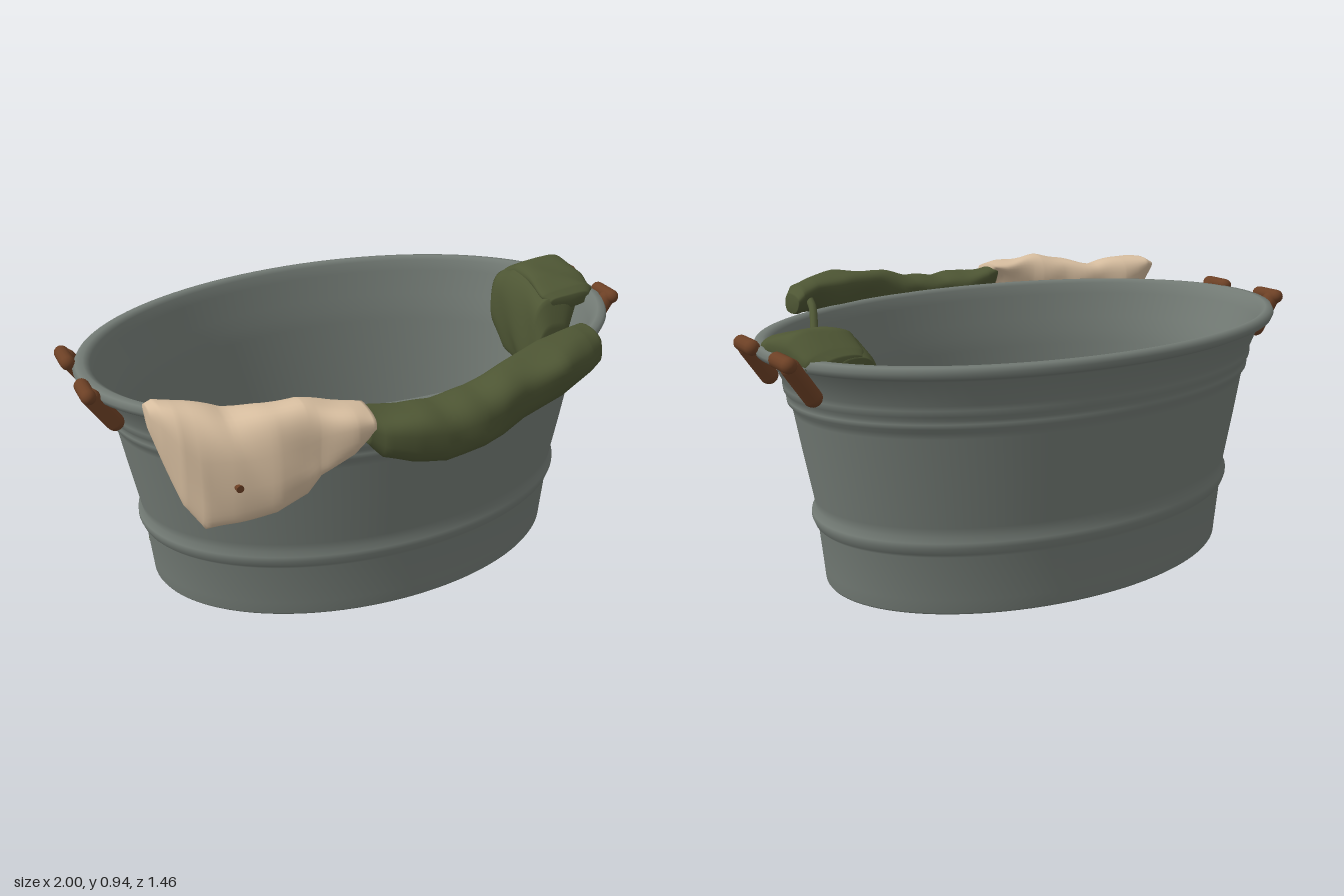
import * as THREE from 'three';

const mat = (name, color, side = THREE.FrontSide) => {
  const m = new THREE.MeshStandardMaterial({ color, side });
  m.name = name;
  return m;
};

// Uneven wrinkle pattern for cloth
const wrinkle = (x, y, z) => {
  const a = x + 0.12 * Math.sin(7 * z + 3 * y), b = z + 0.1 * Math.sin(9 * x - 4 * y);
  return Math.sin(13 * a + 9 * y + 5 * b) * Math.sin(10 * b - 11 * y + 4 * a) + 0.4 * Math.sin(31 * a - 14 * b + 15 * y);
};

const lerp = THREE.MathUtils.lerp;

function gridGeometry(pos, index) {
  const g = new THREE.BufferGeometry();
  g.setAttribute('position', new THREE.Float32BufferAttribute(pos, 3));
  g.setIndex(index);
  g.computeVertexNormals();
  return g;
}

// Closed cloth roll. Rows: [station, inner, outer, low, high]; runs along x or z.
function clothRoll(rows, alongZ = false, hang = 0.6) {
  const pos = [], index = [], sides = 36, steps = 6;
  const stations = [];
  for (let i = 0; i < rows.length - 1; i++)
    for (let k = 0; k < steps; k++)
      stations.push(rows[i].map((v, c) => lerp(v, rows[i + 1][c], k / steps)));
  stations.push(rows[rows.length - 1]);
  const soft = v => Math.sign(v) * Math.abs(v) ** 0.75;
  const put = (s, a, y) => {
    const n = 0.008 * wrinkle(s, y, a);
    pos.push(...(alongZ ? [a + n, y + n, s] : [s, y + n, a + n]));
  };
  for (const [s, inner, outer, low, high] of stations)
    for (let j = 0; j < sides; j++) {
      const t = j / sides * Math.PI * 2;
      const v = soft(Math.sin(t)) * 0.5 + 0.5, u = soft(Math.cos(t)) * 0.5 + 0.5;
      // the roll thins towards its hanging lower edge
      const start = lerp(inner, outer, hang * (1 - v));
      put(s, lerp(start, outer, u), lerp(low, high, v));
    }
  const last = stations.length - 1;
  for (let i = 0; i < last; i++)
    for (let j = 0; j < sides; j++) {
      const a = i * sides + j, b = i * sides + (j + 1) % sides;
      index.push(a, b, a + sides, b, b + sides, a + sides);
    }
  // end caps
  for (const i of [0, last]) {
    const [s, inner, outer, low, high] = stations[i], c = pos.length / 3;
    put(s, lerp(inner, outer, .5 + hang / 4), (low + high) / 2);
    for (let j = 0; j < sides; j++) {
      const a = i * sides + j, b = i * sides + (j + 1) % sides;
      index.push(...(i ? [a, b, c] : [b, a, c]));
    }
  }
  return gridGeometry(pos, index);
}

// Outlines of the coloured garments lying on the pile, as [x, z]
const SAND_RIGHT = [[.07, -.15], [.08, -.27], [.19, -.39], [.43, -.51], [.53, -.51], [.62, -.46], [.7, -.34],
  [.71, -.15], [.68, .03], [.64, .11], [.4, .23], [.3, .27], [.19, .35], [-.05, .365], [-.05, .24], [-.13, .17],
  [-.12, .12], [.08, .13]];
const SAND_BACK = [[-.55, -.3], [-.58, -.36], [-.5, -.53], [-.13, -.58], [-.26, -.39], [-.4, -.16], [-.56, -.16]];
const RUST = [[-.2, -.46], [-.05, -.4], [.02, -.36], [.12, -.35], [.07, -.2], [.06, -.02], [-.05, -.05], [-.11, -.17],
  [-.21, -.04], [-.24, -.13], [-.31, -.05], [-.33, -.12], [-.32, -.24]];

function inside(poly, x, z) {
  let hit = false;
  poly.forEach(([x1, z1], i) => {
    const [x2, z2] = poly[(i + 1) % poly.length];
    if ((z1 > z) !== (z2 > z) && x < (x2 - x1) * (z - z1) / (z2 - z1) + x1) hit = !hit;
  });
  return hit;
}

// Moves a point lying close to a garment outline onto it, for clean colour edges
function snap(x, z) {
  let best = 0.0065, out = [x, z];
  for (const poly of [SAND_RIGHT, SAND_BACK, RUST])
    poly.forEach(([x1, z1], i) => {
      const [x2, z2] = poly[(i + 1) % poly.length], dx = x2 - x1, dz = z2 - z1;
      const t = THREE.MathUtils.clamp(((x - x1) * dx + (z - z1) * dz) / (dx * dx + dz * dz), 0, 1);
      const px = x1 + t * dx, pz = z1 + t * dz, d = Math.hypot(x - px, z - pz);
      if (d < best) { best = d; out = [px, pz]; }
    });
  return out;
}

// Rumpled disc with one material group per colour, resting higher at the left end
function pileGeometry() {
  const rings = 54, segs = 240, pos = [], tris = [[], [], []];
  for (let i = 0; i <= rings; i++)
    for (let j = 0; j < segs; j++) {
      const r = i / rings, t = j / segs * Math.PI * 2;
      const edge = 1 - 0.02 * (1 + Math.sin(7 * t) * Math.sin(4 * t + 1));
      const [x, z] = snap(-.03 + .75 * r * edge * Math.cos(t), -.1 + .485 * r * edge * Math.sin(t));
      pos.push(x, .17 + .08 * x + .1 * (1 - r ** 4) + .016 * wrinkle(x, 0, z), z);
    }
  const add = (...abc) => {
    const x = abc.reduce((s, k) => s + pos[3 * k], 0) / 3, z = abc.reduce((s, k) => s + pos[3 * k + 2], 0) / 3;
    const c = inside(SAND_RIGHT, x, z) || inside(SAND_BACK, x, z) ? 1 : inside(RUST, x, z) ? 2 : 0;
    tris[c].push(...abc);
  };
  for (let i = 0; i < rings; i++)
    for (let j = 0; j < segs; j++) {
      const a = i * segs + j, b = i * segs + (j + 1) % segs;
      if (i) add(a, b, a + segs);
      add(b, b + segs, a + segs);
    }
  const g = gridGeometry(pos, tris.flat());
  let start = 0;
  tris.forEach((t, c) => { g.addGroup(start, t.length, c); start += t.length; });
  return g;
}

export function createModel() {
  const group = new THREE.Group();
  const metal = mat('galvanised grey', 0x747c76);
  const wood = mat('handle brown', 0x6c4025);
  const olive = mat('olive cloth', 0x4e5634, THREE.DoubleSide);
  const sand = mat('sand cloth', 0xd5bc9e, THREE.DoubleSide);
  const rust = mat('rust cloth', 0xc26b40, THREE.DoubleSide);
  const add = (name, geometry, material, parent = group) => {
    const m = new THREE.Mesh(geometry, material);
    m.name = name;
    parent.add(m);
    return m;
  };

  // Oval tub: outside, rolled rim and inside in one profile
  const profile = [[0, .02], [.735, .02], [.742, .018], [.746, 0], [.762, 0], [.766, .006], [.77, .05], [.785, .2],
    [.797, .212], [.806, .235], [.805, .252], [.792, .27], [.797, .3], [.826, .45], [.853, .6], [.858, .62],
    [.872, .635], [.874, .65], [.868, .66], [.882, .675], [.885, .695], [.884, .71], [.92, .79], [.945, .8],
    [.967, .806], [.976, .824], [.966, .841], [.94, .843], [.918, .83], [.908, .79], [.872, .7], [.858, .65],
    [.842, .6], [.784, .28], [.79, .25], [.772, .2], [.754, .04], [.74, .03], [0, .03]];
  const tub = new THREE.LatheGeometry(profile.map(p => new THREE.Vector2(...p)), 96);
  tub.scale(1, 1, .648);
  tub.translate(0, 0, -.1);
  add('tub', tub, metal);

  // Handle brackets: a short grip and a strap down the wall, mirrored on both ends
  const rod = (a, b, r, parent, name) => {
    const p = new THREE.Vector3(...a), q = new THREE.Vector3(...b), d = q.clone().sub(p);
    const m = add(name, new THREE.CapsuleGeometry(r, d.length(), 6, 14), wood, parent);
    m.position.copy(p).add(q).multiplyScalar(.5);
    m.quaternion.setFromUnitVectors(new THREE.Vector3(0, 1, 0), d.normalize());
  };
  for (const side of [-1, 1])
    for (const dir of [-1, 1]) {
      const bracket = new THREE.Group();
      bracket.name = 'handleBracket';
      const z = d => -.115 + dir * d;
      rod([side * .975, .838, z(.095)], [side * .975, .838, z(.182)], .025, bracket, 'handleGrip');
      rod([side * .963, .825, z(.165)], [side * .897, .727, z(.165)], .03, bracket, 'handleStrap');
      group.add(bracket);
    }

  // Cloth lying in the tub
  add('clothPile', pileGeometry(), [olive, sand, rust]);

  // Cloth draped over the front rim
  add('sandSleeve', clothRoll([
    [-.865, .28, .35, .83, .9], [-.84, .27, .4, .74, .92], [-.8, .27, .46, .6, .92], [-.75, .28, .5, .52, .915],
    [-.66, .33, .545, .55, .9], [-.55, .4, .59, .585, .915], [-.46, .44, .61, .64, .925], [-.42, .46, .62, .7, .92],
    [-.33, .49, .66, .77, .91], [-.27, .52, .67, .84, .9]]), sand);
  add('oliveSleeve', clothRoll([
    [-.29, .53, .66, .8, .89], [-.24, .51, .69, .75, .885], [-.15, .51, .71, .72, .875], [-.05, .52, .72, .7, .875],
    [.08, .51, .715, .715, .89], [.16, .5, .7, .735, .905], [.25, .48, .67, .76, .925], [.4, .42, .645, .79, .94],
    [.55, .38, .57, .81, .94], [.62, .35, .52, .815, .93], [.65, .35, .47, .83, .9]], false, .3), olive);
  const button = add('button', new THREE.CylinderGeometry(.012, .012, .03, 12).rotateX(Math.PI / 2), wood);
  button.position.set(-.66, .69, .54);

  // Cloth folded over the left end of the rim and hanging inside, with its tail and strap
  add('drapeFold', clothRoll([
    [-.33, .74, .89, .8, .85], [-.3, .72, .93, .8, .87], [-.22, .71, .955, .8, .91], [-.1, .71, .96, .8, .895],
    [-.02, .72, .95, .8, .87], [.01, .75, .91, .8, .85]], true, .15), olive);
  add('oliveDrape', clothRoll([
    [-.335, .85, .71, .7, .84], [-.3, .91, .69, .62, .865], [-.22, .94, .68, .56, .9], [-.12, .945, .68, .53, .885],
    [-.04, .94, .68, .5, .865], [.0, .9, .68, .48, .85], [.04, .84, .69, .49, .74]], true, .7), olive);
  const tube = (name, pts, r) => add(name, new THREE.TubeGeometry(
    new THREE.CatmullRomCurve3(pts.map(p => new THREE.Vector3(...p))), 24, r, 10), olive);
  tube('drapeTail', [[.75, .6, -.04], [.71, .47, .03], [.66, .37, .09], [.58, .24, .16]], .058);
  tube('drapeStrap', [[.77, .66, 0], [.71, .7, .12], [.66, .76, .22], [.61, .86, .33], [.59, .88, .4]], .014);
  return group;
}
